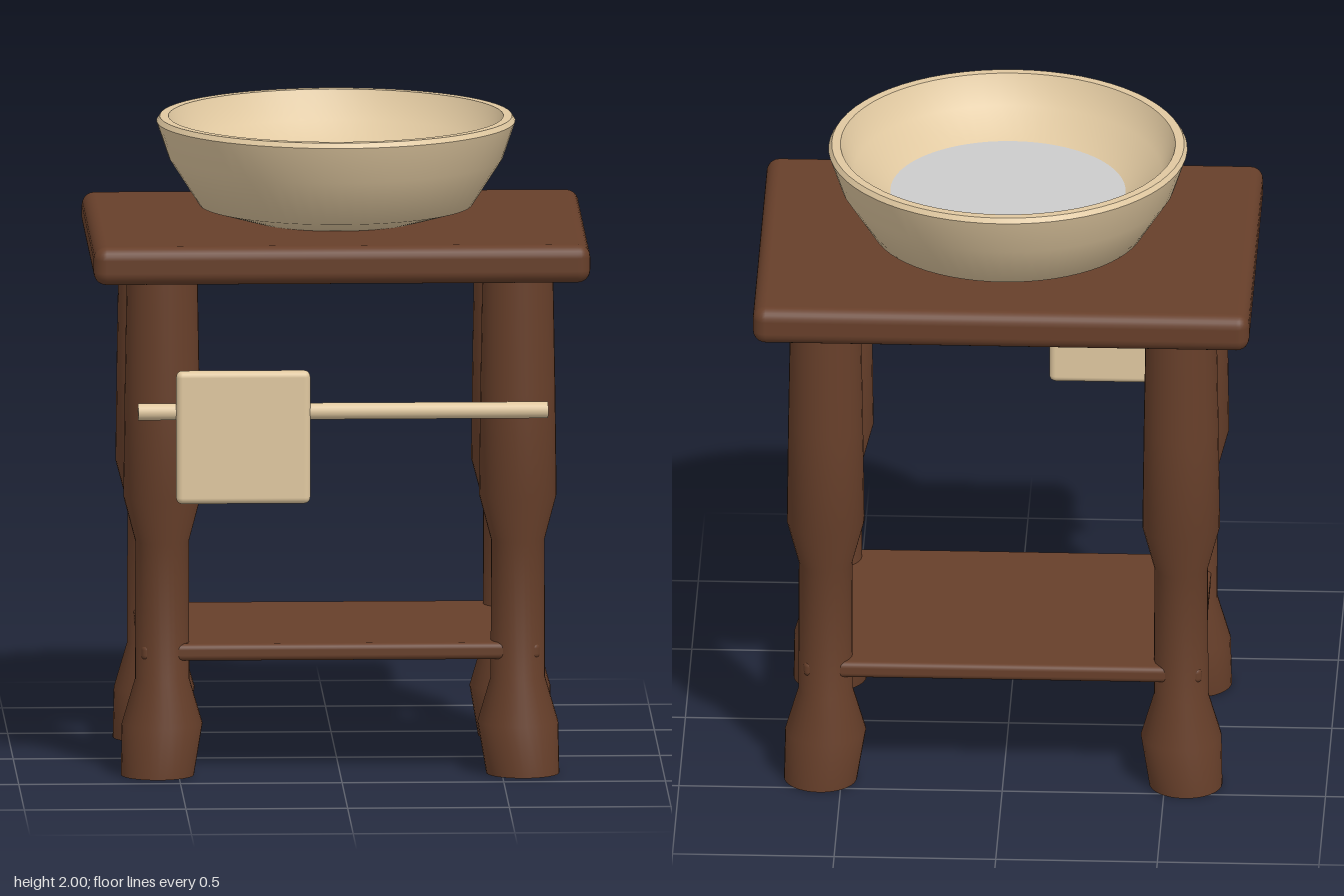
import * as THREE from 'three';
import { toCreasedNormals } from 'three/addons/utils/BufferGeometryUtils.js';
import { RoundedBoxGeometry } from 'three/addons/geometries/RoundedBoxGeometry.js';

const material = (name, color) => {
  const m = new THREE.MeshStandardMaterial({ color });
  m.name = name;
  return m;
};

export function createModel() {
  const group = new THREE.Group();
  const wood = material('dark wood', 0x673f2a);
  const cream = material('cream', 0xe0c8a0);
  const waterGrey = material('water grey', 0xcccccc);

  const add = (name, geometry, mat, x = 0, y = 0, z = 0) => {
    const mesh = new THREE.Mesh(geometry, mat);
    mesh.name = name;
    mesh.position.set(x, y, z);
    group.add(mesh);
    return mesh;
  };

  // Rounded slab given by its minimum and maximum corners
  const slab = (name, min, max, radius, mat) => {
    const size = max.map((v, i) => v - min[i]);
    const mid = max.map((v, i) => (v + min[i]) / 2);
    return add(name, new RoundedBoxGeometry(...size, 3, radius), mat, ...mid);
  };

  const lathe = (profile, segments) =>
    new THREE.LatheGeometry(profile.map(([r, y]) => new THREE.Vector2(r, y)), segments);

  // Table top and lower shelf, whose corners just poke through the legs
  slab('tableTop', [-0.768, 1.56, -0.625], [0.768, 1.68, 0.527], 0.04, wood);
  slab('shelf', [-0.616, 0.362, -0.474], [0.616, 0.415, 0.376], 0.018, wood);

  // Turned legs, each foot splayed slightly outwards at the floor
  const legProfile = [
    [0, 0], [0.113, 0], [0.125, 0.16], [0.084, 0.3], [0.083, 0.73],
    [0.12, 0.87], [0.116, 1.2], [0.109, 1.6], [0, 1.6],
  ];
  for (const sx of [-1, 1]) {
    for (const sz of [-1, 1]) {
      const geometry = lathe(legProfile, 32);
      const p = geometry.attributes.position;
      for (let i = 0; i < p.count; i++) {
        if (p.getY(i) < 0.01) {
          p.setX(i, p.getX(i) + sx * 0.015);
          p.setZ(i, p.getZ(i) + sz * 0.014);
        }
      }
      const name = (sz > 0 ? 'front' : 'back') + (sx > 0 ? 'Left' : 'Right') + 'Leg';
      add(name, toCreasedNormals(geometry, 0.6), wood, sx * 0.55, 0, sz > 0 ? 0.308 : -0.405);
    }
  }

  // Towel rail with a folded towel
  const rail = add('towelRail', new THREE.CylinderGeometry(0.026, 0.026, 1.268, 20), cream, 0, 1.177, 0.583);
  rail.rotation.z = Math.PI / 2;
  slab('towel', [-0.517, 0.892, 0.579], [-0.102, 1.308, 0.625], 0.02, cream);

  // Basin: outer wall, rim, inner wall and floor
  const bowlProfile = [
    [0, 1.681], [0.272, 1.681], [0.423, 1.725], [0.516, 1.87], [0.555, 1.985], [0.545, 2],
    [0.518, 2], [0.475, 1.91], [0.363, 1.838], [0.3, 1.8], [0, 1.79],
  ];
  add('basin', toCreasedNormals(lathe(bowlProfile, 64), 0.75), cream, 0, 0, -0.055);

  // Water surface
  const water = add('water', new THREE.CircleGeometry(0.364, 64), waterGrey, 0, 1.84, -0.055);
  water.rotation.x = -Math.PI / 2;

  return group;
}
